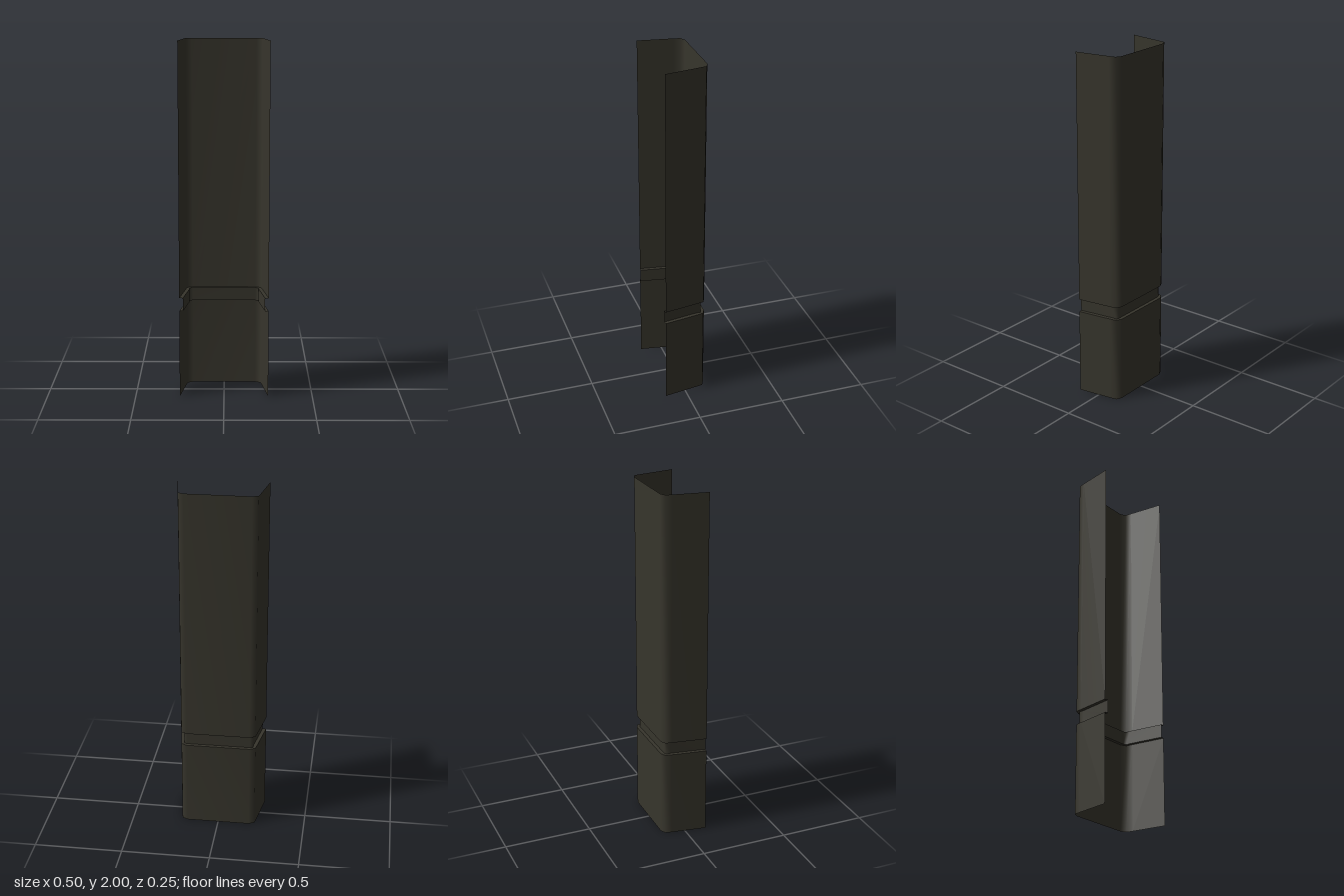
import * as THREE from 'three';

// Half cross-sections [x, z] from the front lip of a flange round to the back panel
const outerHalf = [[0.25, 0.122], [0.219, -0.075], [0.212, -0.112], [0.18, -0.128]];
const grooveHalf = [[0.23, 0.125], [0.198, -0.075], [0.198, -0.102], [0.18, -0.108]];

const mirrored = (half) => [...half, ...half.map(([x, z]) => [-x, z]).reverse()];

// Sheet joining one cross-section at y0 to another at y1
function band(name, lower, y0, upper, y1, material) {
  const positions = [], index = [];
  lower.forEach(([x, z], i) => {
    positions.push(x, y0, z, upper[i][0], y1, upper[i][1]);
    if (i < lower.length - 1) {
      const a = 2 * i;
      index.push(a, a + 2, a + 1, a + 1, a + 2, a + 3);
    }
  });
  const geometry = new THREE.BufferGeometry();
  geometry.setAttribute('position', new THREE.Float32BufferAttribute(positions, 3));
  geometry.setIndex(index);
  geometry.computeVertexNormals();
  const mesh = new THREE.Mesh(geometry, material);
  mesh.name = name;
  return mesh;
}

export function createModel() {
  const group = new THREE.Group();
  group.name = 'channelCover';
  const darkMetal = new THREE.MeshStandardMaterial({ color: 0x37352c, side: THREE.DoubleSide });
  darkMetal.name = 'dark olive metal';

  const outer = mirrored(outerHalf);
  const groove = mirrored(grooveHalf);
  const low = 0.5, high = 0.575;

  // Plain channel below and above, with a pressed-in groove between
  group.add(
    band('lowerPanel', outer, 0, outer, low, darkMetal),
    band('grooveLowerLedge', outer, low, groove, low, darkMetal),
    band('grooveWall', groove, low, groove, high, darkMetal),
    band('grooveUpperLedge', groove, high, outer, high, darkMetal),
    band('upperPanel', outer, high, outer, 2, darkMetal),
  );
  return group;
}
